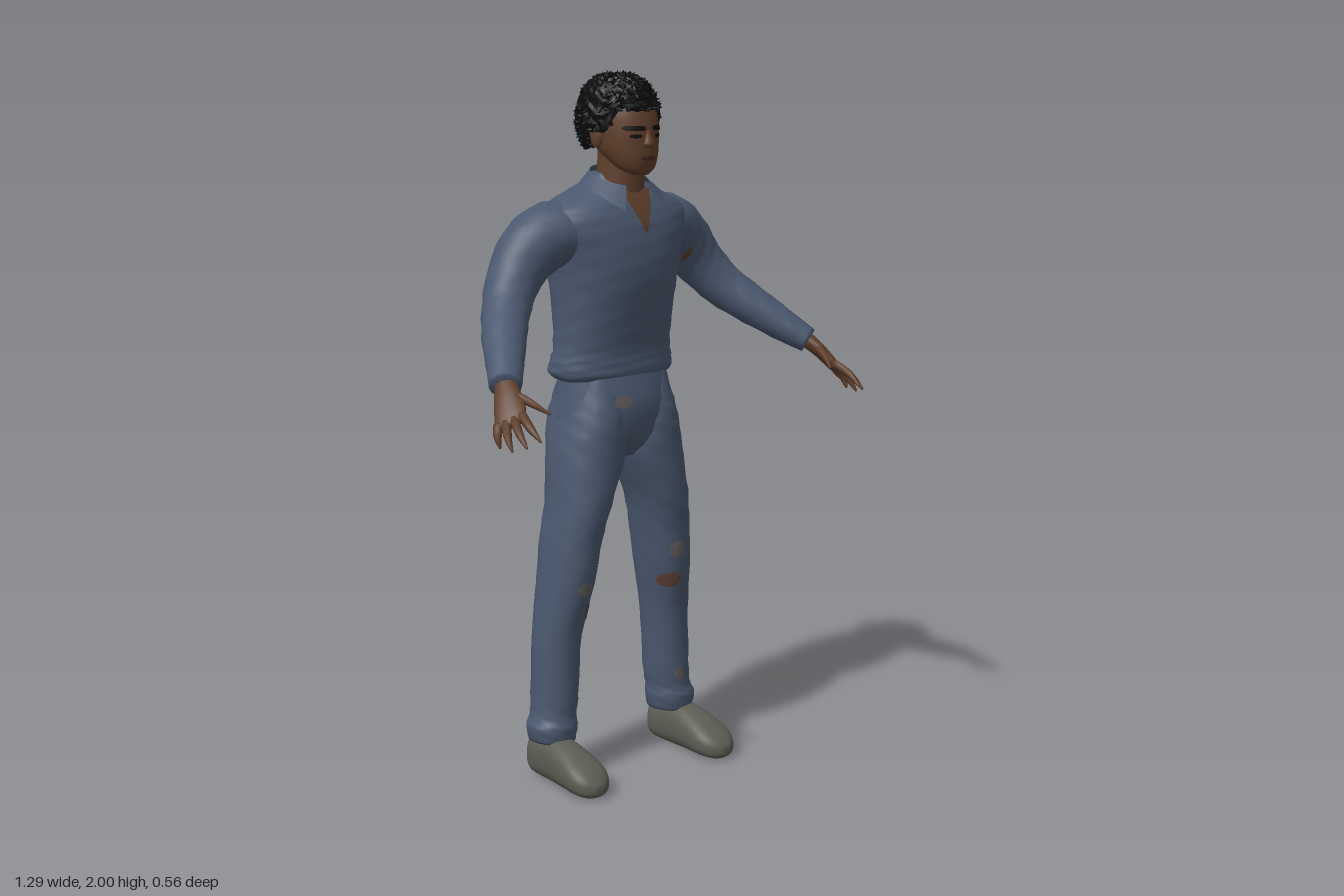
import * as THREE from 'three';
import { mergeGeometries } from 'three/addons/utils/BufferGeometryUtils.js';

const mat = (name, color, side = THREE.FrontSide) => new THREE.MeshStandardMaterial({ name, color, side });
const V = (x, y, z) => new THREE.Vector3(x, y, z);
const X = V(1, 0, 0), Y = V(0, 1, 0), Z = V(0, 0, 1);

let seed = 7;
const rnd = () => (seed = (seed * 16807) % 2147483647) / 2147483647;

// Smooth value of component k at position t along rows of [x, y, z, a, b]
function sample(rows, t, k) {
  const i = Math.min(Math.floor(t), rows.length - 2), f = t - i;
  const p = j => rows[Math.max(0, Math.min(rows.length - 1, j))][k];
  const m0 = (p(i + 1) - p(i - 1)) / 2, m1 = (p(i + 2) - p(i)) / 2;
  const f2 = f * f, f3 = f2 * f;
  return p(i) * (2 * f3 - 3 * f2 + 1) + m0 * (f3 - 2 * f2 + f) + p(i + 1) * (3 * f2 - 2 * f3) + m1 * (f3 - f2);
}

// Closed skin over rounded cross-sections; without u and v the rings follow the path
function loft(rows, { u, v, n = 28, sub = 4, pow = 1, fold = 0 } = {}) {
  const pos = [], idx = [], m = (rows.length - 1) * sub;
  const at = t => V(sample(rows, t, 0), sample(rows, t, 1), sample(rows, t, 2));
  const sp = c => Math.sign(c) * Math.abs(c) ** pow;
  for (let i = 0; i <= m; i++) {
    const t = i / sub, c = at(t);
    const dir = at(Math.min(t + 0.1, rows.length - 1)).sub(at(Math.max(t - 0.1, 0))).normalize();
    const a = u || V().crossVectors(dir, Y).normalize();
    const b = v || V().crossVectors(a, dir);
    for (let j = 0; j < n; j++) {
      const q = j / n * Math.PI * 2;
      const k = 1 + fold * (Math.sin(3 * q + t * 5) * Math.sin(t * 4 + 2 * q) + 0.5 * Math.sin(5 * q - t * 7));
      const p = c.clone().addScaledVector(a, sp(Math.cos(q)) * k * sample(rows, t, 3))
        .addScaledVector(b, sp(Math.sin(q)) * k * sample(rows, t, 4));
      pos.push(p.x, p.y, p.z);
      if (i < m) {
        const A = i * n + j, B = i * n + (j + 1) % n;
        idx.push(A, B, A + n, B, B + n, A + n);
      }
    }
  }
  const end = (m + 1) * n;
  pos.push(...at(0), ...at(rows.length - 1));
  for (let j = 0; j < n; j++) {
    const k = (j + 1) % n;
    idx.push(end, k, j, end + 1, m * n + j, m * n + k);
  }
  // Turn all faces outward
  const P = i => V(pos[i * 3], pos[i * 3 + 1], pos[i * 3 + 2]);
  let vol = 0;
  for (let i = 0; i < idx.length; i += 3) vol += P(idx[i]).dot(P(idx[i + 1]).cross(P(idx[i + 2])));
  if (vol < 0) idx.reverse();
  const g = new THREE.BufferGeometry();
  g.setAttribute('position', new THREE.Float32BufferAttribute(pos, 3));
  g.setIndex(idx);
  g.computeVertexNormals();
  return g;
}

// Thin plate laid on a mesh from the front (dir 1) or the back (dir -1)
function patch(target, x, y, w, h, dir = 1, width = t => Math.sqrt(Math.max(0, 1 - t * t)), lift = 0.004) {
  const g = new THREE.PlaneGeometry(2, 2, 8, 8), p = g.attributes.position;
  const hitZ = (px, py) => new THREE.Raycaster(V(px, py, dir * 2), V(0, 0, -dir)).intersectObject(target)[0]?.point.z;
  const mid = hitZ(x, y) ?? 0;
  for (let i = 0; i < p.count; i++) {
    const px = x + dir * p.getX(i) * w * width(p.getY(i)), py = y + p.getY(i) * h;
    p.setXYZ(i, px, py, (hitZ(px, py) ?? mid) + dir * lift);
  }
  g.computeVertexNormals();
  return g;
}

export function createModel() {
  const model = new THREE.Group();
  const M = {
    cloth: mat('blue cloth', 0x4a586e), skin: mat('skin', 0x5e3e2b), hair: mat('black hair', 0x0b0b0c),
    shoe: mat('grey shoe', 0x5c5d54), collar: mat('collar cloth', 0x4a586e, THREE.DoubleSide),
    worn: mat('worn cloth', 0x5f5d5a), tear: mat('torn cloth', 0x5f4236),
    lip: mat('lips', 0x43281f), dark: mat('brow black', 0x100c0b),
  };
  const add = (name, g, m) => {
    const mesh = new THREE.Mesh(g, m);
    mesh.name = name;
    model.add(mesh);
    return mesh;
  };
  const flat = { u: X, v: Z };

  // Shirt body and hips, rows of y, half width, front z, back z
  const body = rows => rows.map(([y, w, f, b]) => [0, y, (f + b) / 2, w, (f - b) / 2]);
  const shirt = add('shirt', loft(body([[1.145, 0.165, -0.04, -0.225], [1.165, 0.195, -0.02, -0.258],
    [1.2, 0.194, -0.02, -0.25], [1.24, 0.186, -0.02, -0.24], [1.32, 0.185, -0.005, -0.25], [1.42, 0.19, 0.015, -0.27],
    [1.5, 0.205, 0.02, -0.282], [1.58, 0.235, 0.01, -0.278], [1.63, 0.222, -0.008, -0.255],
    [1.665, 0.155, -0.028, -0.232], [1.695, 0.092, -0.048, -0.205], [1.725, 0.066, -0.07, -0.17]]),
    { ...flat, n: 48, pow: 0.85, fold: 0.012 }), M.cloth);
  const hips = add('trouserSeat', loft(body([[1.2, 0.165, -0.03, -0.23], [1.1, 0.178, -0.004, -0.253],
    [1.03, 0.188, -0.006, -0.252], [0.97, 0.16, -0.022, -0.226], [0.925, 0.07, -0.06, -0.18]]),
    { ...flat, n: 40, pow: 0.9 }), M.cloth);

  // Neck and head
  add('neck', loft([[0, 1.6, -0.11, 0.08, 0.08], [0, 1.7, -0.095, 0.066, 0.07], [0, 1.79, -0.09, 0.062, 0.068]], flat), M.skin);
  const head = add('head', loft([[0, 1.722, -0.01, 0.022, 0.02], [0, 1.737, -0.025, 0.05, 0.042],
    [0, 1.765, -0.046, 0.069, 0.07], [0, 1.8, -0.067, 0.082, 0.092], [0, 1.85, -0.085, 0.088, 0.11],
    [0, 1.9, -0.097, 0.086, 0.11], [0, 1.94, -0.1, 0.068, 0.086], [0, 1.96, -0.1, 0.035, 0.045]],
    { ...flat, pow: 0.92 }), M.skin);
  add('nose', loft([[0, 1.85, 0.016, 0.008, 0.008], [0, 1.825, 0.022, 0.011, 0.012],
    [0, 1.806, 0.024, 0.017, 0.016], [0, 1.797, 0.018, 0.012, 0.01]], { ...flat, n: 12 }), M.skin);
  add('mouth', patch(head, 0, 1.768, 0.026, 0.006, 1, undefined, 0.002), M.lip);

  // Hair cap with its hairline, covered in short tufts
  const step = THREE.MathUtils.smoothstep, cap = new THREE.SphereGeometry(1, 48, 20), hp = cap.attributes.position;
  const scalp = (q, t, grow) => {
    const a = Math.abs(q);
    const th = t * (1.36 + 0.5 * step(a, 0.75, 1.15) + 0.5 * step(a, 1.6, 2.3));
    const r = Math.sin(th) ** 0.8 + grow;
    return V(Math.sin(q) * r * 0.103, 1.872 + Math.cos(th) * (0.119 + grow * 0.12), -0.105 + Math.cos(q) * r * 0.126);
  };
  const jitter = Array.from({ length: 48 * 21 }, () => rnd() * 0.06);
  for (let i = 0; i < hp.count; i++) {
    const col = i % 49, row = Math.floor(i / 49);
    const q = (col % 48) / 48 * Math.PI * 2 - Math.PI;
    const last = row === 20;
    const p = scalp(q, last ? 0.99 : row / 19, last ? -0.22 : row && jitter[row * 48 + col % 48]);
    hp.setXYZ(i, p.x, p.y, p.z);
  }
  const capFlat = cap.toNonIndexed();
  capFlat.computeVertexNormals();
  add('hairCap', capFlat, M.hair);
  const tufts = [];
  for (let i = 0; i < 420; i++) {
    const p = scalp((rnd() * 2 - 1) * Math.PI, Math.sqrt(rnd()), 0.025);
    const dir = p.clone().sub(V(0, 1.87, -0.105)).normalize().add(V(rnd() - 0.5, rnd() - 0.7, rnd() - 0.5)).normalize();
    tufts.push(new THREE.ConeGeometry(0.008, 0.02, 4)
      .applyQuaternion(new THREE.Quaternion().setFromUnitVectors(Y, dir)).translate(p.x, p.y, p.z));
  }
  add('hairTufts', mergeGeometries(tufts), M.hair);

  // Open neckline and folded collar with pointed flaps
  add('neckline', patch(shirt, 0, 1.62, 0.055, 0.06, 1, t => (t + 1) / 2, 0.006), M.skin);
  const collar = new THREE.PlaneGeometry(1, 1, 32, 3), cp = collar.attributes.position;
  for (let i = 0; i < cp.count; i++) {
    const t = cp.getX(i) * 2, d = 0.5 - cp.getY(i), q = t * (2.65 - 0.1 * d), c = Math.cos(q);
    const r = 1 + d * (0.45 - 0.15 * c), tip = Math.max(0, Math.abs(t) - 0.75) * 0.12 * d;
    cp.setXYZ(i, Math.sin(q) * 0.08 * r, 1.715 + 0.025 * c - d * 0.035 - tip, -0.098 - c * 0.083 * r);
  }
  collar.computeVertexNormals();
  add('collar', collar, M.collar);

  for (const s of [1, -1]) {
    const side = s > 0 ? 'left' : 'right';
    const at = rows => rows.map(([x, ...r]) => [x * s, ...r]);

    // Face details
    add(side + 'Brow', patch(head, s * 0.04, 1.85, 0.029, 0.007, 1, t => 1 - 0.3 * t * t), M.dark);
    add(side + 'Eye', patch(head, s * 0.038, 1.829, 0.016, 0.006, 1, undefined, 0.002), M.dark);
    const ear = new THREE.SphereGeometry(1, 12, 10).scale(0.01, 0.03, 0.02).rotateY(-s * 0.3);
    add(side + 'Ear', ear.translate(s * 0.09, 1.825, -0.088), M.skin);

    // Sleeve, flowing out of the shoulder
    const sleeve = add(side + 'Sleeve', loft(at([[0.06, 1.575, -0.14, 0.08, 0.06], [0.15, 1.568, -0.142, 0.102, 0.084],
      [0.22, 1.556, -0.15, 0.098, 0.092], [0.285, 1.512, -0.155, 0.086, 0.086], [0.345, 1.44, -0.142, 0.074, 0.073],
      [0.4, 1.37, -0.1, 0.066, 0.064], [0.46, 1.31, -0.03, 0.06, 0.056], [0.52, 1.25, 0.05, 0.049, 0.045],
      [0.558, 1.215, 0.098, 0.043, 0.036]]), { fold: 0.025 }), M.cloth);

    // Hand with thin pointed fingers
    const w = V(-0.7 * s, 0.41, 0.59).normalize(), d = V(0.35 * s, -0.55, 0.75).normalize();
    add(side + 'Palm', loft(at([[0.548, 1.225, 0.085, 0.028, 0.024], [0.572, 1.19, 0.125, 0.038, 0.02],
      [0.592, 1.15, 0.163, 0.044, 0.016], [0.602, 1.13, 0.182, 0.034, 0.009]]),
      { u: w, v: V().crossVectors(w, d).normalize(), n: 16 }), M.skin);
    const tips = [[0.585, 1.1, 0.278], [0.617, 1.085, 0.262], [0.633, 1.072, 0.222], [0.638, 1.075, 0.178]];
    const fingers = tips.map((tip, i) => [V(0.598 * s, 1.142, 0.168).addScaledVector(w, 0.033 - i * 0.022), tip]);
    fingers.push([V(0.562 * s, 1.205, 0.118), [0.515, 1.155, 0.23]]);
    fingers.forEach(([b, [x, y, z]], i) => {
      const k = b.clone().lerp(V(x * s, y, z), 0.55).add(V(0.006 * s, 0.005, 0));
      add(side + (i < 4 ? 'Finger' : 'Thumb'), loft([[...b, 0.013, 0.013], [...k, 0.011, 0.011],
        [x * s, y, z, 0.003, 0.003]], { n: 8, sub: 3 }), M.skin);
    });

    // Trouser leg, blended into the seat and gathered at the ankle
    const leg = add(side + 'TrouserLeg', loft(at([[0.085, 1.19, -0.128, 0.065, 0.085], [0.09, 1.1, -0.129, 0.083, 0.115],
      [0.1, 1.03, -0.128, 0.092, 0.127], [0.107, 0.94, -0.121, 0.105, 0.118],
      [0.145, 0.8, -0.112, 0.081, 0.107], [0.166, 0.7, -0.12, 0.076, 0.1], [0.182, 0.58, -0.125, 0.071, 0.094],
      [0.204, 0.42, -0.138, 0.066, 0.074], [0.213, 0.25, -0.138, 0.065, 0.07], [0.22, 0.19, -0.137, 0.063, 0.068],
      [0.226, 0.16, -0.135, 0.071, 0.073], [0.226, 0.118, -0.137, 0.063, 0.07]]),
      { ...flat, pow: 0.92, fold: 0.02 }), M.cloth);

    // Shoe
    add(side + 'Shoe', loft(at([[0.23, 0.062, -0.202, 0.028, 0.042], [0.232, 0.066, -0.185, 0.045, 0.061],
      [0.235, 0.068, -0.1, 0.05, 0.067], [0.238, 0.061, -0.03, 0.058, 0.06], [0.24, 0.046, 0.04, 0.063, 0.045],
      [0.241, 0.034, 0.08, 0.046, 0.031], [0.241, 0.028, 0.1, 0.016, 0.014]]), { u: X, v: Y, pow: 0.8 }), M.shoe);

    // Wear marks, different on each side
    if (s > 0) {
      add('kneeWear', patch(leg, 0.157, 0.63, 0.022, 0.025), M.worn);
      add('kneeTear', patch(leg, 0.152, 0.535, 0.026, 0.025), M.tear);
      add('shinWear', patch(leg, 0.205, 0.235, 0.016, 0.022), M.worn);
      add('sleeveTear', patch(sleeve, 0.245, 1.475, 0.01, 0.022), M.tear);
    } else {
      add('kneeWear', patch(leg, -0.185, 0.57, 0.024, 0.02), M.worn);
      add('kneeTear', patch(leg, -0.16, 0.5, 0.012, 0.03), M.tear);
      add('kneeBackTear', patch(leg, -0.19, 0.6, 0.024, 0.03, -1), M.tear);
    }
  }
  add('waistWear', patch(hips, -0.065, 1.095, 0.028, 0.018, 1, undefined, 0.008), M.worn);
  return model;
}
